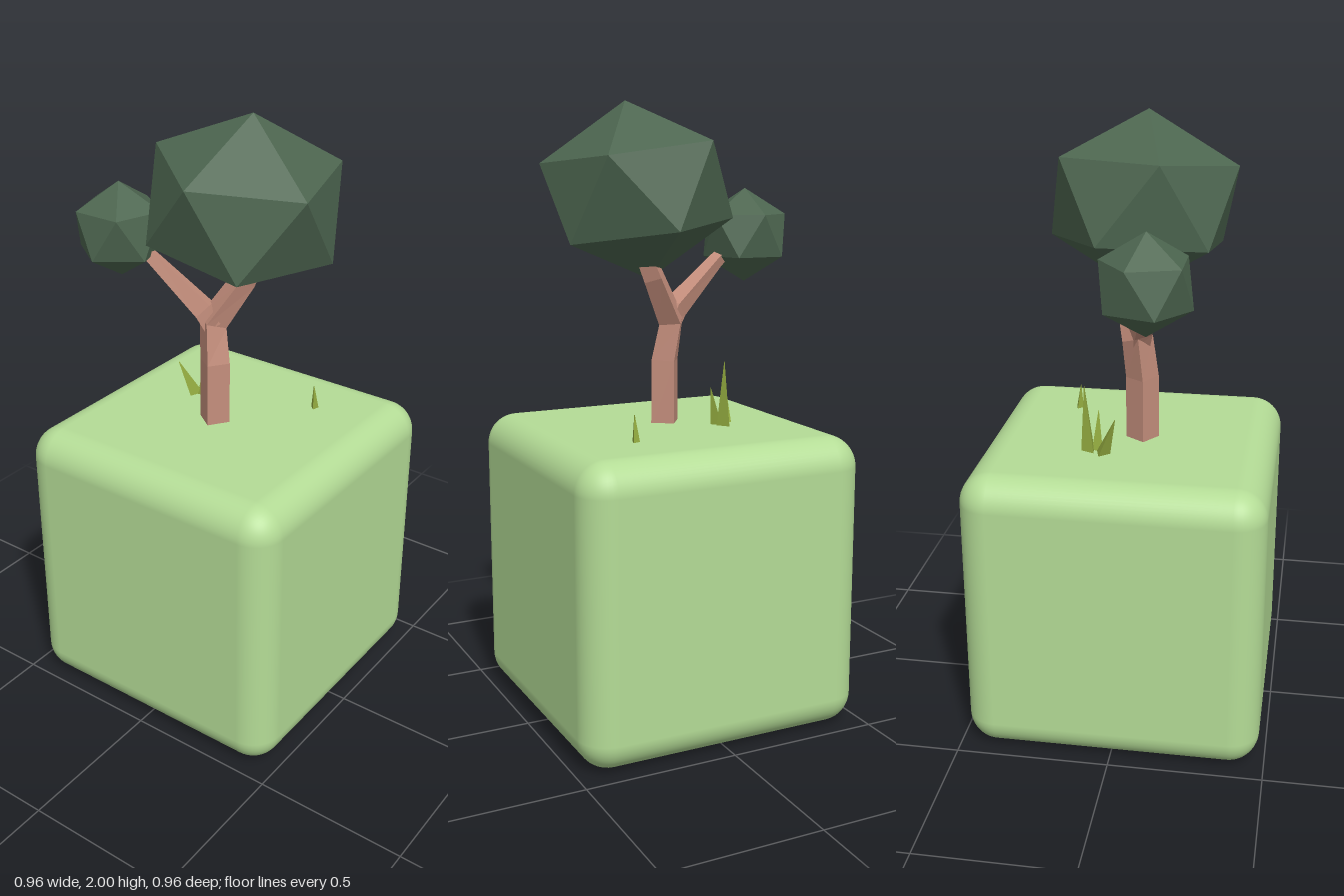
import * as THREE from 'three';
import { RoundedBoxGeometry } from 'three/addons/geometries/RoundedBoxGeometry.js';

const material = (color, flatShading = true) =>
  new THREE.MeshStandardMaterial({ color, flatShading });

function part(name, geometry, mat) {
  const mesh = new THREE.Mesh(geometry, mat);
  mesh.name = name;
  return mesh;
}

// Faceted tapering limb: a ring of `sides` corners square to the path at each point
function limb(path, radii, sides, turn = 0) {
  const points = path.map((p) => new THREE.Vector3(...p));
  const positions = [];
  const index = [];
  points.forEach((p, i) => {
    const before = points[Math.max(i - 1, 0)];
    const after = points[Math.min(i + 1, points.length - 1)];
    const t = after.clone().sub(before).normalize();
    const w = new THREE.Vector3(0, 0, 1).addScaledVector(t, -t.z).normalize();
    const u = t.clone().cross(w);
    for (let j = 0; j < sides; j++) {
      const a = turn + (j / sides) * Math.PI * 2;
      const v = p.clone()
        .addScaledVector(u, radii[i] * Math.cos(a))
        .addScaledVector(w, radii[i] * Math.sin(a));
      positions.push(v.x, v.y, v.z);
      if (i < points.length - 1) {
        const k = i * sides;
        const n = (j + 1) % sides;
        index.push(k + j, k + sides + j, k + n, k + sides + j, k + sides + n, k + n);
      }
    }
  });
  const geometry = new THREE.BufferGeometry();
  geometry.setAttribute('position', new THREE.Float32BufferAttribute(positions, 3));
  geometry.setIndex(index);
  const flat = geometry.toNonIndexed();
  flat.computeVertexNormals();
  return flat;
}

// Icosahedron standing on a corner, spun about its vertical axis
function crown(width, height, spin) {
  const geometry = new THREE.IcosahedronGeometry(1, 0);
  geometry.rotateZ(Math.atan(2 / (1 + Math.sqrt(5))));
  geometry.rotateY(THREE.MathUtils.degToRad(spin));
  geometry.scale(width, height, width);
  return geometry;
}

export function createModel() {
  const model = new THREE.Group();
  model.name = 'treeOnBlock';
  const grassGreen = material(0xb4dc96, false);
  const leaf = material(0x4d6650);
  const bark = material(0xc48e7c);
  const blade = material(0x94ac40);

  // Soft-edged ground block
  const block = part('groundBlock', new RoundedBoxGeometry(0.96, 0.96, 0.96, 6, 0.1), grassGreen);
  block.position.y = 0.48;
  model.add(block);

  // Tree: bent trunk, side branch and two crowns
  const tree = new THREE.Group();
  tree.name = 'tree';
  tree.add(part('trunk', limb(
    [[-0.02, 0.94, 0.042], [-0.02, 1.17, 0.04], [-0.037, 1.3, 0.027], [0.05, 1.45, -0.022], [0.1, 1.56, -0.03]],
    [0.054, 0.053, 0.05, 0.04, 0.035], 4, -0.17), bark));
  tree.add(part('sideBranch', limb(
    [[-0.03, 1.29, 0.03], [-0.06, 1.34, 0.04], [-0.23, 1.485, 0.078], [-0.33, 1.56, 0.1]],
    [0.04, 0.042, 0.026, 0.02], 4, 0.35), bark));

  const bigCrown = part('bigCrown', crown(0.33, 0.283, 15.4), leaf);
  bigCrown.position.set(0.083, 1.72, 0.028);
  bigCrown.rotation.set(0.035, 0, -0.13);
  const smallCrown = part('smallCrown', crown(0.157, 0.157, -18), leaf);
  smallCrown.position.set(-0.35, 1.568, 0.098);
  tree.add(bigCrown, smallCrown);
  model.add(tree);

  // Grass blades: base x, base z, tip, base radius
  const grass = new THREE.Group();
  grass.name = 'grass';
  [
    [-0.168, -0.108, [-0.155, 1.175, -0.126], 0.028],
    [-0.185, -0.068, [-0.215, 1.09, -0.018], 0.028],
    [-0.157, -0.08, [-0.127, 1.085, -0.085], 0.024],
    [0.205, -0.215, [0.205, 1.045, -0.208], 0.016],
  ].forEach(([x, z, tip, r], i) => {
    grass.add(part(`grassBlade${i + 1}`, limb([[x, 0.95, z], tip], [r, 0.001], 3, 0.4 + i), blade));
  });
  model.add(grass);

  return model;
}
